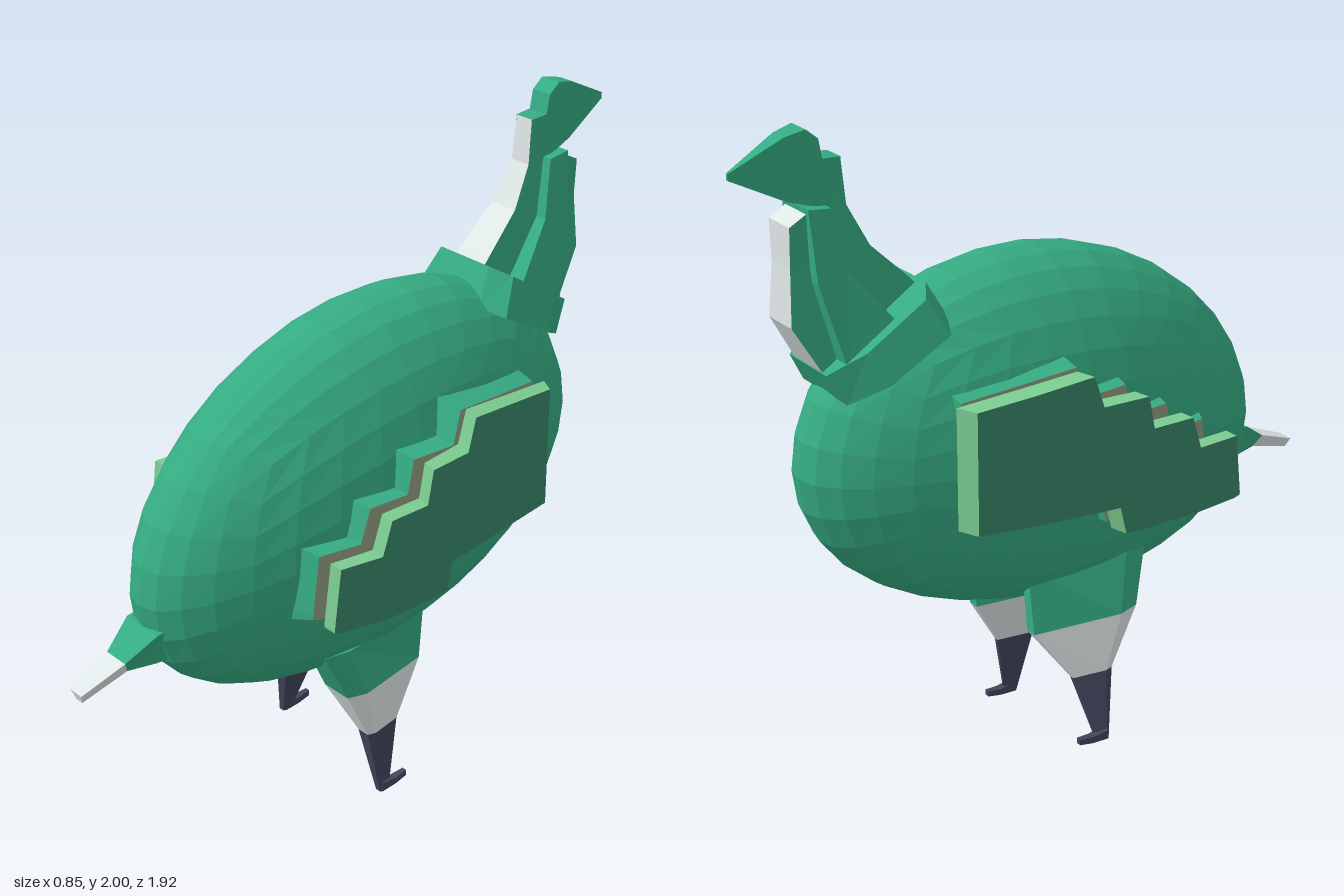
import * as THREE from 'three';

const mat = (name, color) => {
  const m = new THREE.MeshStandardMaterial({ color });
  m.name = name;
  return m;
};

// Skins a row of closed rings with flat faces; pick(strip, side) gives the material index, caps use strip -1
function loft(rings, pick = () => 0) {
  const n = rings[0].length, tris = [];
  const quad = (a, b, c, d, m) => tris.push([a, b, c, m], [a, c, d, m]);
  for (let i = 0; i < rings.length - 1; i++) {
    for (let j = 0; j < n; j++) {
      const k = (j + 1) % n;
      quad(rings[i][j], rings[i][k], rings[i + 1][k], rings[i + 1][j], pick(i, j));
    }
  }
  const last = rings[rings.length - 1];
  for (let j = 1; j < n - 1; j++) {
    tris.push([rings[0][0], rings[0][j + 1], rings[0][j], pick(-1, 0)]);
    tris.push([last[0], last[j], last[j + 1], pick(-1, 1)]);
  }
  // Turn the faces outward, measured from the first ring's first corner
  const o = new THREE.Vector3(...rings[0][0]);
  const v = (p) => new THREE.Vector3(...p).sub(o);
  let volume = 0;
  for (const [a, b, c] of tris) volume += v(a).dot(v(b).cross(v(c)));
  const pos = [];
  const geo = new THREE.BufferGeometry();
  tris.forEach(([a, b, c, m], i) => {
    pos.push(...a, ...(volume > 0 ? b : c), ...(volume > 0 ? c : b));
    geo.addGroup(i * 3, 3, m);
  });
  geo.setAttribute('position', new THREE.Float32BufferAttribute(pos, 3));
  geo.computeVertexNormals();
  return geo;
}

// Outlines in (front-to-back, sideways) units
const SQUARE = [[-1, -1], [-1, 1], [1, 1], [1, -1]];
const KEEL = [[-1, -1], [-1, 1], [1, 0.5], [1, -0.5]];
const LEG = [[-1, -0.75], [-1, 0.75], [-0.6, 1], [1, 0.25], [1, -0.25], [-0.6, -1]];
const COLLAR = [[-1, -0.6], [-1, 0.6], [-0.75, 1], [0.4, 0.95], [1, 0.6], [1, -0.6], [0.4, -0.95], [-0.75, -1]];

// Ring between a front point and a back point in the side plane
const ring = (outline, [zf, yf, zb, yb, hw, cx = 0]) => outline.map(([u, s]) => {
  const t = (u + 1) / 2;
  return [cx + s * hw, yf + (yb - yf) * t, zf + (zb - zf) * t];
});

// Piecewise linear lookup
function along(points, z) {
  let i = 0;
  while (i < points.length - 2 && z > points[i + 1][0]) i++;
  const [a, b] = [points[i], points[i + 1]];
  return a[1] + (b[1] - a[1]) * (z - a[0]) / (b[0] - a[0]);
}

export function createModel() {
  const group = new THREE.Group();
  const green = mat('body green', 0x35ab82);
  const darkGreen = mat('wing green', 0x38866a);
  const lightGreen = mat('edge green', 0x7acb8f);
  const white = mat('pale grey', 0xdfe6e6);
  const tan = mat('inner wing olive', 0x929c80);
  const navy = mat('foot navy', 0x40465c);

  const add = (name, geo, material, parent = group) => {
    const mesh = new THREE.Mesh(geo, material);
    mesh.name = name;
    parent.add(mesh);
  };

  // Body: gridded ellipsoid whose middle line sinks toward the front
  const body = new THREE.BoxGeometry(2, 2, 2, 8, 8, 8).toNonIndexed();
  const p = body.attributes.position, v = new THREE.Vector3();
  const even = (a) => Math.tan(a * Math.PI / 4);
  for (let i = 0; i < p.count; i++) {
    v.fromBufferAttribute(p, i);
    v.set(even(v.x), even(v.y), even(v.z)).normalize();
    const z = v.z * 0.775 - 0.025;
    p.setXYZ(i, v.x * 0.302, 0.987 - 0.124 * z - 0.084 * z * z + v.y * 0.54, z);
  }
  body.computeVertexNormals();
  add('body', body, green);

  // Collar around the root of the neck
  add('collar', loft([
    [-0.385, 1.435, -0.705, 1.262, 0.182], [-0.44, 1.54, -0.755, 1.352, 0.15],
  ].map((s) => ring(COLLAR, s))), [green]);

  // Neck: pale front strip, flared sides, pale rear strip
  add('neckFront', loft([
    [-0.425, 1.50, -0.62, 1.40, 0.062], [-0.475, 1.555, -0.63, 1.45, 0.058],
    [-0.58, 1.66, -0.68, 1.58, 0.046], [-0.64, 1.78, -0.72, 1.76, 0.034],
    [-0.65, 1.91, -0.74, 1.91, 0.03],
  ].map((s) => ring(SQUARE, s)), (i, j) => (i >= 0 && j === 0 ? 1 : 0)), [green, white]);
  add('neckSides', loft([
    [-0.54, 1.45, -0.70, 1.35, 0.12], [-0.67, 1.62, -0.76, 1.60, 0.08],
    [-0.70, 1.79, -0.77, 1.80, 0.062],
  ].map((s) => ring(SQUARE, s))), [green]);
  add('neckRear', loft([
    [-0.64, 1.40, -0.745, 1.34, 0.07], [-0.73, 1.52, -0.83, 1.49, 0.055],
    [-0.75, 1.65, -0.82, 1.65, 0.045], [-0.76, 1.79, -0.82, 1.76, 0.05],
  ].map((s) => ring(SQUARE, s)), (i, j) => (i < 0 ? j : +(j === 2))), [green, white]);

  // Head: upright slices from brow to pointed beak, each [z, top, bottom, half width]
  add('head', loft([
    [-0.65, 1.91, 1.80, 0.032], [-0.705, 1.915, 1.79, 0.034], [-0.715, 1.97, 1.79, 0.034],
    [-0.75, 2.0, 1.80, 0.034], [-0.81, 1.988, 1.82, 0.026], [-0.96, 1.918, 1.90, 0.004],
  ].map(([z, top, low, hw]) => ring(SQUARE, [z, top, z, low, hw]))), [green]);

  // Tapered spout at the other end
  add('tail', loft([
    [0.66, 0.79, 0.66, 0.67, 0.075], [0.74, 0.78, 0.72, 0.67, 0.07],
    [0.83, 0.715, 0.81, 0.675, 0.042], [0.965, 0.66, 0.955, 0.63, 0.026],
  ].map((s) => ring(KEEL, s)), (i, j) => (i === 2 || (i < 0 && j === 1) ? 1 : 0)), [green, white]);

  // Wings: stepped silhouette, each row [z, top, bottom]
  const steps = [
    [-0.445, 1.247, 0.885], [-0.28, 1.265, 0.88], [-0.11, 1.285, 0.877], [-0.08, 1.19, 0.876],
    [-0.025, 1.19, 0.875], [-0.005, 1.19, 0.79], [0.06, 1.19, 0.79], [0.08, 1.09, 0.79],
    [0.21, 1.09, 0.79], [0.24, 0.99, 0.79], [0.37, 0.99, 0.795], [0.39, 0.81, 0.80],
  ];
  // Sides run outer, bottom, inner, top; flare widens the inner outline, skew slides its rear end back
  const layer = (side, outer, inner, flare, skew) => loft(steps.map(([z, top, low]) => {
    const xo = side * along(outer, z), xi = side * along(inner, z);
    const zi = z + flare - skew * (0.39 - z);
    return [[xo, top, z], [xo, low, z], [xi, low - flare, zi], [xi, top + flare / 2, zi]];
  }), (i, j) => (i < 0 ? 1 : [0, 1, 2, 1][j]));
  const curves = {
    left: {
      outer: [[-0.45, 0.345], [-0.28, 0.37], [-0.08, 0.402], [0.07, 0.417], [0.22, 0.42], [0.38, 0.396]],
      inner: [[-0.45, 0.295], [-0.08, 0.345], [0.07, 0.37], [0.22, 0.372], [0.38, 0.352]],
      base: [[-0.45, 0.275], [-0.08, 0.342], [0.22, 0.33], [0.38, 0.305]],
    },
    right: {
      outer: [[-0.45, 0.325], [-0.28, 0.362], [-0.08, 0.398], [0.07, 0.417], [0.22, 0.428], [0.38, 0.43]],
      inner: [[-0.45, 0.265], [-0.08, 0.342], [0.07, 0.368], [0.22, 0.382], [0.38, 0.386]],
      base: [[-0.45, 0.25], [-0.08, 0.32], [0.22, 0.308], [0.38, 0.28]],
    },
  };
  for (const [name, side] of [['left', 1], ['right', -1]]) {
    const c = curves[name], wing = new THREE.Group();
    wing.name = name + 'Wing';
    group.add(wing);
    add('wingCover', layer(side, c.outer, c.inner, 0, 0.03), [darkGreen, lightGreen, darkGreen], wing);
    add('wingBase', layer(side, c.base, [[-0.45, 0.2], [0.4, 0.2]], 0.03, 0.04), [tan, green, green], wing);
  }

  // Legs: [y, centre x, half width, front z, back z]; the right one is lifted
  const legs = {
    leftLeg: [[0.55, 0.13, 0.055, 0.24, -0.16], [0.38, 0.118, 0.068, 0.152, -0.155],
      [0.215, 0.143, 0.028, 0.07, -0.055], [0.0, 0.166, 0.012, 0.03, -0.01]],
    rightLeg: [[0.62, -0.145, 0.055, 0.25, -0.16], [0.425, -0.18, 0.07, 0.18, -0.165],
      [0.262, -0.23, 0.03, 0.075, -0.055], [0.06, -0.29, 0.012, 0.03, -0.01]],
  };
  for (const [name, rows] of Object.entries(legs)) {
    const leg = new THREE.Group();
    leg.name = name;
    group.add(leg);
    const rings = rows.map(([y, x, hw, zf, zb]) => ring(LEG, [zf, y, zb, y, hw, x]));
    ['thigh', 'shank', 'foot'].forEach((part, i) =>
      add(part, loft([rings[i], rings[i + 1]]), [[green, white, navy][i]], leg));
    const [y, x] = rows[3];
    // Claw pointing toward the head end
    add('claw', loft([
      [0.025, y + 0.03, 0.025, y, 0.014, x], [-0.03, y + 0.024, -0.03, y + 0.004, 0.012, x],
      [-0.075, y + 0.03, -0.075, y + 0.012, 0.008, x],
    ].map((s) => ring(SQUARE, s))), [navy], leg);
  }
  return group;
}
